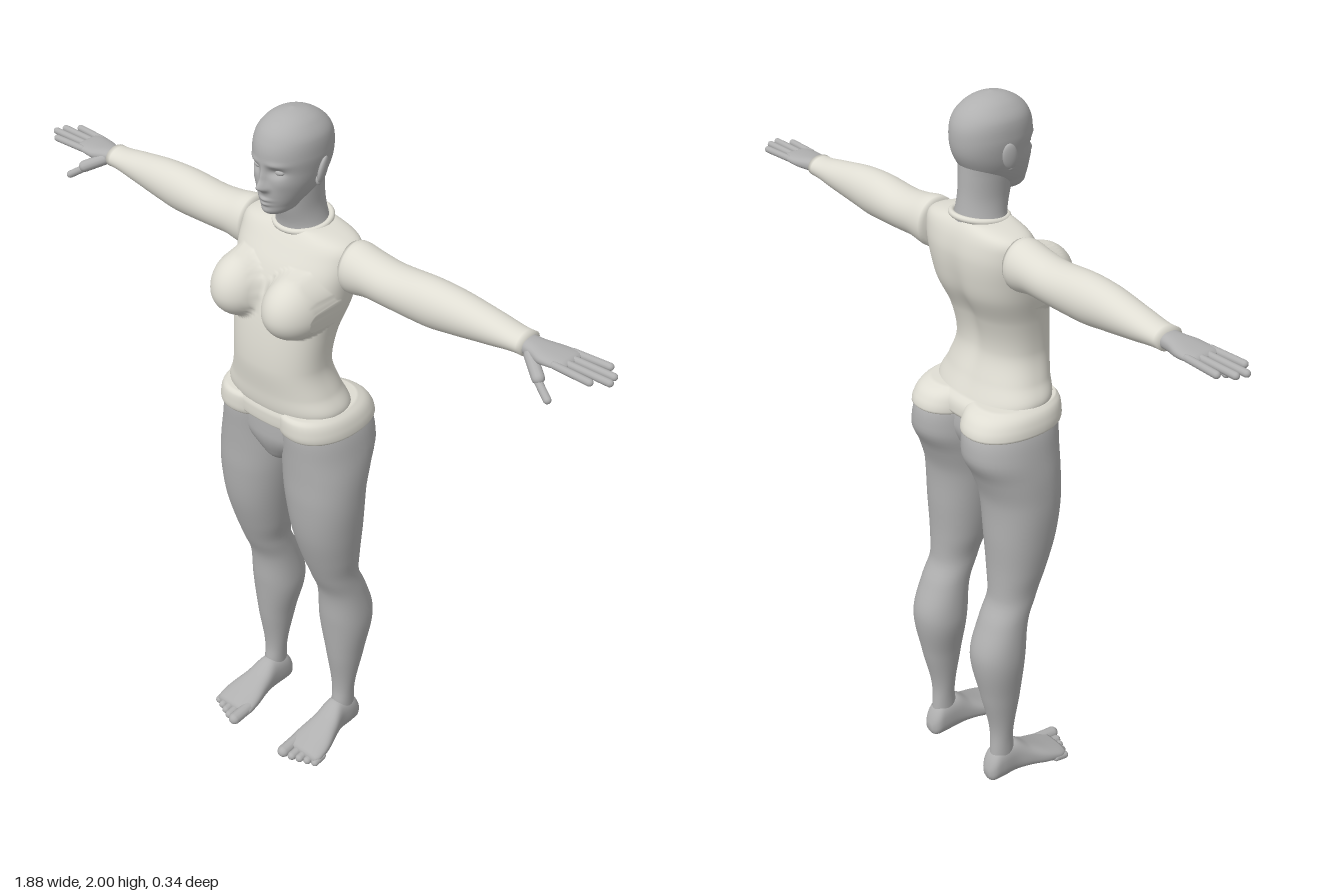
import * as THREE from 'three';

const skin = new THREE.MeshStandardMaterial({ color: 0xb0b0b0 });
skin.name = 'grey skin';
const cloth = new THREE.MeshStandardMaterial({ color: 0xdfddd3 });
cloth.name = 'pale cloth';

// Smooth, overshoot-free interpolation of section rows; the first column is the position
function sample(rows, t) {
  let i = 0;
  while (i < rows.length - 2 && t > rows[i + 1][0]) i++;
  const h = rows[i + 1][0] - rows[i][0], s = (t - rows[i][0]) / h;
  return [1, 2, 3, 4].map((c) => {
    const secant = (k) => (rows[k + 1][c] - rows[k][c]) / (rows[k + 1][0] - rows[k][0]);
    const slope = (k) => {
      if (k === 0) return secant(0);
      if (k === rows.length - 1) return secant(k - 1);
      const a = secant(k - 1), b = secant(k);
      if (a * b <= 0) return 0;
      return Math.sign(a) * Math.min(Math.abs(a + b) / 2, 3 * Math.abs(a), 3 * Math.abs(b));
    };
    const s2 = s * s, s3 = s2 * s;
    return (2 * s3 - 3 * s2 + 1) * rows[i][c] + (s3 - 2 * s2 + s) * h * slope(i)
      + (3 * s2 - 2 * s3) * rows[i + 1][c] + (s3 - s2) * h * slope(i + 1);
  });
}

// Loft along an axis (0 x, 1 y, 2 z). Rows: [t, aMin, aMax, bMin, bMax], a and b being the next two axes
function loft(name, material, axis, rows, { steps = 40, segs = 40, power = 2, rule } = {}) {
  const pos = [], index = [];
  const put = (t, a, b) => {
    const p = [0, 0, 0];
    p[axis] = t; p[(axis + 1) % 3] = a; p[(axis + 2) % 3] = b;
    if (rule) rule(p);
    pos.push(...p);
  };
  const soft = (v) => Math.sign(v) * Math.abs(v) ** (2 / power);
  const t0 = rows[0][0], t1 = rows[rows.length - 1][0];
  for (let i = 0; i <= steps; i++) {
    const t = t0 + (t1 - t0) * i / steps, [a0, a1, b0, b1] = sample(rows, t);
    for (let j = 0; j < segs; j++) {
      const q = j / segs * Math.PI * 2;
      put(t, (a0 + a1) / 2 + (a1 - a0) / 2 * soft(Math.cos(q)), (b0 + b1) / 2 + (b1 - b0) / 2 * soft(Math.sin(q)));
    }
  }
  const centre = (r) => put(r[0], (r[1] + r[2]) / 2, (r[3] + r[4]) / 2);
  centre(rows[0]);
  centre(rows[rows.length - 1]);
  const c0 = (steps + 1) * segs;
  for (let j = 0; j < segs; j++) {
    const k = (j + 1) % segs;
    for (let i = 0; i < steps; i++) {
      const a = i * segs + j, b = i * segs + k;
      index.push(a, b, a + segs, b, b + segs, a + segs);
    }
    index.push(c0, k, j, c0 + 1, steps * segs + j, steps * segs + k);
  }
  const g = new THREE.BufferGeometry();
  g.setAttribute('position', new THREE.Float32BufferAttribute(pos, 3));
  g.setIndex(index);
  g.computeVertexNormals();
  const m = new THREE.Mesh(g, material);
  m.name = name;
  return m;
}

function ball(name, material, [x, y, z], [rx, ry, rz]) {
  const m = new THREE.Mesh(new THREE.SphereGeometry(1, 24, 16), material);
  m.position.set(x, y, z);
  m.scale.set(rx, ry, rz);
  m.name = name;
  return m;
}

function capsule(name, from, to, r) {
  const a = new THREE.Vector3(...from), b = new THREE.Vector3(...to), d = b.clone().sub(a);
  const m = new THREE.Mesh(new THREE.CapsuleGeometry(r, d.length() - r, 6, 12), skin);
  m.position.copy(a).add(b).multiplyScalar(0.5);
  m.quaternion.setFromUnitVectors(new THREE.Vector3(0, 1, 0), d.normalize());
  m.name = name;
  return m;
}

const bell = (u, v) => Math.exp(-u * u - v * v);

// Bust in front, spine groove behind
function torsoRule(p) {
  const [x, y, z] = p;
  if (z > 0) {
    const dy = y - 1.512;
    const d = ((Math.abs(x) - 0.088) / 0.08) ** 2 + (dy / (dy > 0 ? 0.097 : 0.08)) ** 2;
    if (d < 1) p[2] = Math.max(z, 0.07 + 0.103 * Math.sqrt(1 - d));
  } else if (z < -0.04) {
    p[2] += 0.014 * bell(x / 0.035, (y - 1.42) / 0.17);
  }
}

// Facial relief: x, y, width, height, depth (mirrored through |x|)
const relief = [
  [0, 1.829, 0.012, 0.013, 0.02], [0, 1.853, 0.009, 0.025, 0.011], [0.011, 1.824, 0.008, 0.008, 0.006],
  [0.033, 1.868, 0.018, 0.011, -0.011], [0.035, 1.889, 0.024, 0.008, 0.004], [0.046, 1.838, 0.02, 0.018, 0.003],
  [0, 1.792, 0.018, 0.005, 0.006], [0, 1.779, 0.015, 0.005, 0.006], [0, 1.758, 0.018, 0.011, 0.005],
];
function faceRule(p) {
  if (p[2] < 0.03) return;
  const [x, y] = p;
  for (const [cx, cy, w, h, d] of relief) p[2] += d * bell((Math.abs(x) - cx) / w, (y - cy) / h);
}

function makeSide() {
  const g = new THREE.Group();

  // Sleeve and cuff
  g.add(loft('sleeve', cloth, 0, [
    [0.16, 1.55, 1.675, -0.105, 0.008], [0.178, 1.542, 1.682, -0.113, 0.015], [0.24, 1.552, 1.671, -0.111, 0.012],
    [0.3, 1.55, 1.665, -0.11, 0.01], [0.42, 1.547, 1.672, -0.108, 0.008], [0.5, 1.556, 1.668, -0.105, 0.002],
    [0.6, 1.57, 1.653, -0.1, -0.01], [0.69, 1.582, 1.64, -0.095, -0.018], [0.7, 1.582, 1.641, -0.095, -0.017]]));

  // Hand
  g.add(loft('palm', skin, 0, [
    [0.67, 1.591, 1.632, -0.085, -0.03], [0.72, 1.59, 1.629, -0.088, -0.022], [0.76, 1.593, 1.626, -0.1, -0.01],
    [0.8, 1.6, 1.624, -0.104, -0.011], [0.815, 1.604, 1.622, -0.102, -0.014], [0.822, 1.61, 1.616, -0.095, -0.02]],
  { steps: 24, segs: 28, power: 2.4 }));
  [[-0.02, -0.016, 0.9], [-0.045, -0.045, 0.935], [-0.07, -0.072, 0.928], [-0.094, -0.101, 0.898]]
    .forEach(([z0, z1, tip]) => g.add(capsule('finger', [0.79, 1.612, z0], [tip, 1.612, z1], 0.0095)));
  g.add(capsule('thumbBase', [0.715, 1.605, -0.035], [0.775, 1.572, 0.004], 0.016));
  g.add(capsule('thumb', [0.755, 1.58, -0.003], [0.815, 1.54, 0.02], 0.01));

  // Leg with hip and buttock
  g.add(loft('leg', skin, 1, [
    [0.04, -0.122, -0.05, 0.108, 0.163], [0.1, -0.118, -0.045, 0.107, 0.165], [0.15, -0.115, -0.05, 0.104, 0.167],
    [0.3, -0.145, -0.03, 0.083, 0.187], [0.44, -0.17, -0.015, 0.057, 0.204], [0.55, -0.137, -0.004, 0.062, 0.198],
    [0.62, -0.108, 0.026, 0.063, 0.195], [0.7, -0.106, 0.056, 0.047, 0.206], [0.8, -0.11, 0.085, 0.03, 0.219],
    [0.92, -0.115, 0.1, 0.012, 0.227], [1.0, -0.14, 0.102, 0.002, 0.225], [1.07, -0.171, 0.105, 0, 0.216],
    [1.13, -0.164, 0.108, 0, 0.203], [1.18, -0.13, 0.1, 0.002, 0.18]], { steps: 80, power: 2.15 }));

  // Foot and toes
  g.add(loft('foot', skin, 2, [
    [-0.137, 0.122, 0.15, 0.02, 0.05], [-0.128, 0.109, 0.161, 0.006, 0.075], [-0.1, 0.101, 0.168, 0.002, 0.11],
    [-0.05, 0.1, 0.17, 0.004, 0.115], [0, 0.094, 0.184, 0.006, 0.085], [0.05, 0.084, 0.2, 0.003, 0.06],
    [0.09, 0.081, 0.204, 0.001, 0.043], [0.112, 0.086, 0.196, 0.004, 0.034]], { steps: 36, power: 2.4 }));
  for (let i = 0; i < 5; i++) {
    const r = i === 0 ? 0.018 : 0.0135 - i * 0.0005;
    const x = i === 0 ? 0.1 : 0.105 + i * 0.0225;
    g.add(capsule('toe', [x, r + 0.007, 0.07], [x, r, 0.148 - i * 0.009], r));
  }

  // Side of the waistband, following hip and buttock
  g.add(loft('waistbandSide', cloth, 1, [
    [1.128, -0.16, 0.105, 0.01, 0.198], [1.134, -0.172, 0.114, 0.002, 0.208], [1.16, -0.165, 0.119, 0, 0.205],
    [1.187, -0.142, 0.117, 0.002, 0.193], [1.2, -0.115, 0.108, 0.01, 0.178]], { steps: 20, power: 2.2 }));

  // Ear and eye
  const ear = ball('ear', skin, [0.087, 1.858, -0.02], [0.009, 0.036, 0.02]);
  ear.rotation.set(-0.15, 0.3, -0.12);
  g.add(ear);
  g.add(ball('earLobe', skin, [0.082, 1.832, -0.012], [0.007, 0.014, 0.01]));
  g.add(ball('eye', skin, [0.033, 1.868, 0.076], [0.015, 0.008, 0.009]));
  return g;
}

export function createModel() {
  const model = new THREE.Group();
  model.name = 'mannequin';

  // Top
  model.add(loft('torso', cloth, 1, [
    [1.18, -0.118, 0.108, -0.176, 0.176], [1.2, -0.11, 0.115, -0.18, 0.18], [1.25, -0.09, 0.121, -0.158, 0.158],
    [1.33, -0.07, 0.13, -0.137, 0.137], [1.42, -0.088, 0.124, -0.145, 0.145], [1.5, -0.125, 0.11, -0.163, 0.163],
    [1.55, -0.136, 0.095, -0.171, 0.171], [1.6, -0.14, 0.074, -0.178, 0.178], [1.64, -0.135, 0.05, -0.179, 0.179],
    [1.668, -0.126, 0.032, -0.168, 0.168], [1.682, -0.118, 0.022, -0.13, 0.13], [1.692, -0.11, 0.015, -0.075, 0.075]],
  { steps: 100, segs: 112, power: 2.3, rule: torsoRule }));

  // Collar
  const collar = new THREE.Mesh(new THREE.TorusGeometry(0.072, 0.008, 12, 48), cloth);
  collar.name = 'collar';
  collar.position.set(0, 1.69, -0.046);
  collar.rotation.x = Math.PI / 2 + 0.12;
  model.add(collar);

  // Pelvis and middle of the waistband
  model.add(loft('pelvis', skin, 1, [
    [0.985, -0.04, 0.03, -0.015, 0.015], [1.0, -0.07, 0.06, -0.035, 0.035], [1.04, -0.1, 0.09, -0.09, 0.09],
    [1.1, -0.12, 0.107, -0.16, 0.16], [1.18, -0.11, 0.105, -0.17, 0.17]]));
  model.add(loft('waistbandMiddle', cloth, 1, [
    [1.14, -0.125, 0.105, -0.17, 0.17], [1.148, -0.13, 0.115, -0.18, 0.18], [1.18, -0.125, 0.117, -0.183, 0.183],
    [1.2, -0.11, 0.112, -0.176, 0.176]], { steps: 16, power: 2.4 }));

  // Neck and head
  model.add(loft('neck', skin, 1, [
    [1.67, -0.118, 0.025, -0.075, 0.075], [1.7, -0.112, 0.027, -0.063, 0.063], [1.75, -0.105, 0.04, -0.056, 0.056],
    [1.8, -0.102, 0.045, -0.058, 0.058], [1.84, -0.1, 0.03, -0.06, 0.06]]));
  model.add(loft('head', skin, 1, [
    [1.742, 0.03, 0.07, -0.014, 0.014], [1.75, -0.005, 0.083, -0.03, 0.03], [1.775, -0.045, 0.092, -0.048, 0.048],
    [1.8, -0.08, 0.096, -0.062, 0.062], [1.83, -0.103, 0.097, -0.074, 0.074], [1.86, -0.117, 0.097, -0.081, 0.081],
    [1.9, -0.122, 0.101, -0.086, 0.086], [1.94, -0.114, 0.093, -0.083, 0.083], [1.97, -0.09, 0.072, -0.066, 0.066],
    [1.988, -0.06, 0.043, -0.044, 0.044], [1.996, -0.036, 0.02, -0.024, 0.024], [2.0, -0.012, -0.004, -0.003, 0.003]],
  { steps: 100, segs: 112, power: 2.1, rule: faceRule }));

  // Paired parts
  const left = makeSide(), right = makeSide();
  left.name = 'leftSide';
  right.name = 'rightSide';
  right.scale.x = -1;
  model.add(left, right);
  return model;
}
